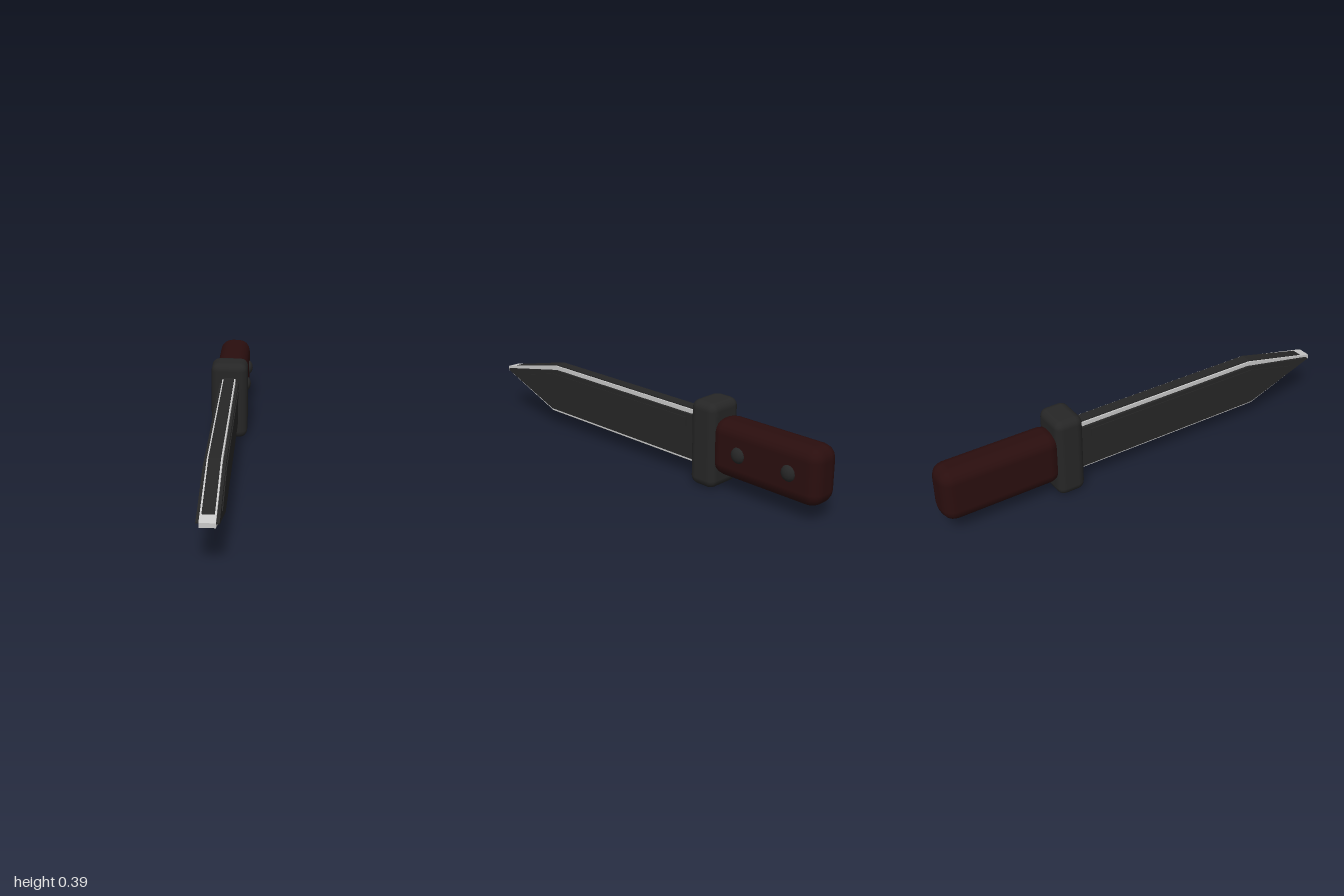
import * as THREE from 'three';
import { RoundedBoxGeometry } from 'three/addons/geometries/RoundedBoxGeometry.js';

const CENTER_X = -0.006;

function material(name, color, flatShading = false) {
  const m = new THREE.MeshStandardMaterial({ color, flatShading });
  m.name = name;
  return m;
}

// Flat slab cut from a (z, y) outline, centred on the blade plane
function slab(name, points, thickness, mat, x = CENTER_X) {
  const shape = new THREE.Shape(points.map(([z, y]) => new THREE.Vector2(z, y)));
  const geometry = new THREE.ExtrudeGeometry(shape, { depth: thickness, bevelEnabled: false });
  geometry.translate(0, 0, -thickness / 2);
  geometry.rotateY(-Math.PI / 2);
  const mesh = new THREE.Mesh(geometry, mat);
  mesh.name = name;
  mesh.position.x = x;
  return mesh;
}

// Blade outline: top and bottom heights, shoulder positions and blunt tip
function bladeOutline(top, bottom, topShoulder, bottomShoulder, tipZ, tipTop, tipBottom) {
  return [
    [-0.4, bottom], [bottomShoulder, bottom], [tipZ, tipBottom],
    [tipZ, tipTop], [topShoulder, top], [-0.4, top],
  ];
}

function roundedBlock(name, size, radius, position, mat) {
  const mesh = new THREE.Mesh(new RoundedBoxGeometry(...size, 2, radius), mat);
  mesh.name = name;
  mesh.position.set(...position);
  return mesh;
}

export function createModel() {
  const model = new THREE.Group();
  model.name = 'knife';

  const steel = material('darkSteel', 0x262626);
  const edge = material('brightEdge', 0xc8c8c8);
  const wood = material('darkRedWood', 0x2a0e0e);

  // Blade: dark spine, bright ground edge, dark side faces
  const blade = new THREE.Group();
  blade.name = 'blade';
  blade.add(
    slab('bladeSpine', bladeOutline(0.321, 0.072, 0.62, 0.65, 0.992, 0.233, 0.213), 0.05, steel),
    slab('brightEdge', bladeOutline(0.316, 0.077, 0.615, 0.645, 1.0, 0.232, 0.212), 0.064, edge),
    slab('bladeSides', bladeOutline(0.297, 0.092, 0.605, 0.635, 0.982, 0.225, 0.219), 0.09, steel),
  );

  // Shallow raised rib on each side
  const rib = [[-0.28, 0.24], [0.65, 0.235], [0.87, 0.217], [0.62, 0.278], [-0.28, 0.28]];
  for (const side of [-1, 1]) {
    blade.add(slab('bladeRib', rib, 0.006, steel, CENTER_X + side * 0.046));
  }
  model.add(blade);

  // Guard and grip
  model.add(
    roundedBlock('guard', [0.177, 0.388, 0.136], 0.038, [CENTER_X, 0.194, -0.403], steel),
    roundedBlock('handle', [0.156, 0.254, 0.56], 0.06, [CENTER_X - 0.001, 0.198, -0.72], wood),
  );

  // Domed rivets on one side of the grip
  for (const z of [-0.6, -0.86]) {
    const rivet = new THREE.Mesh(new THREE.SphereGeometry(0.036, 12, 8), steel);
    rivet.name = 'rivet';
    rivet.scale.x = 0.65;
    rivet.position.set(0.067, 0.2, z);
    model.add(rivet);
  }

  return model;
}
